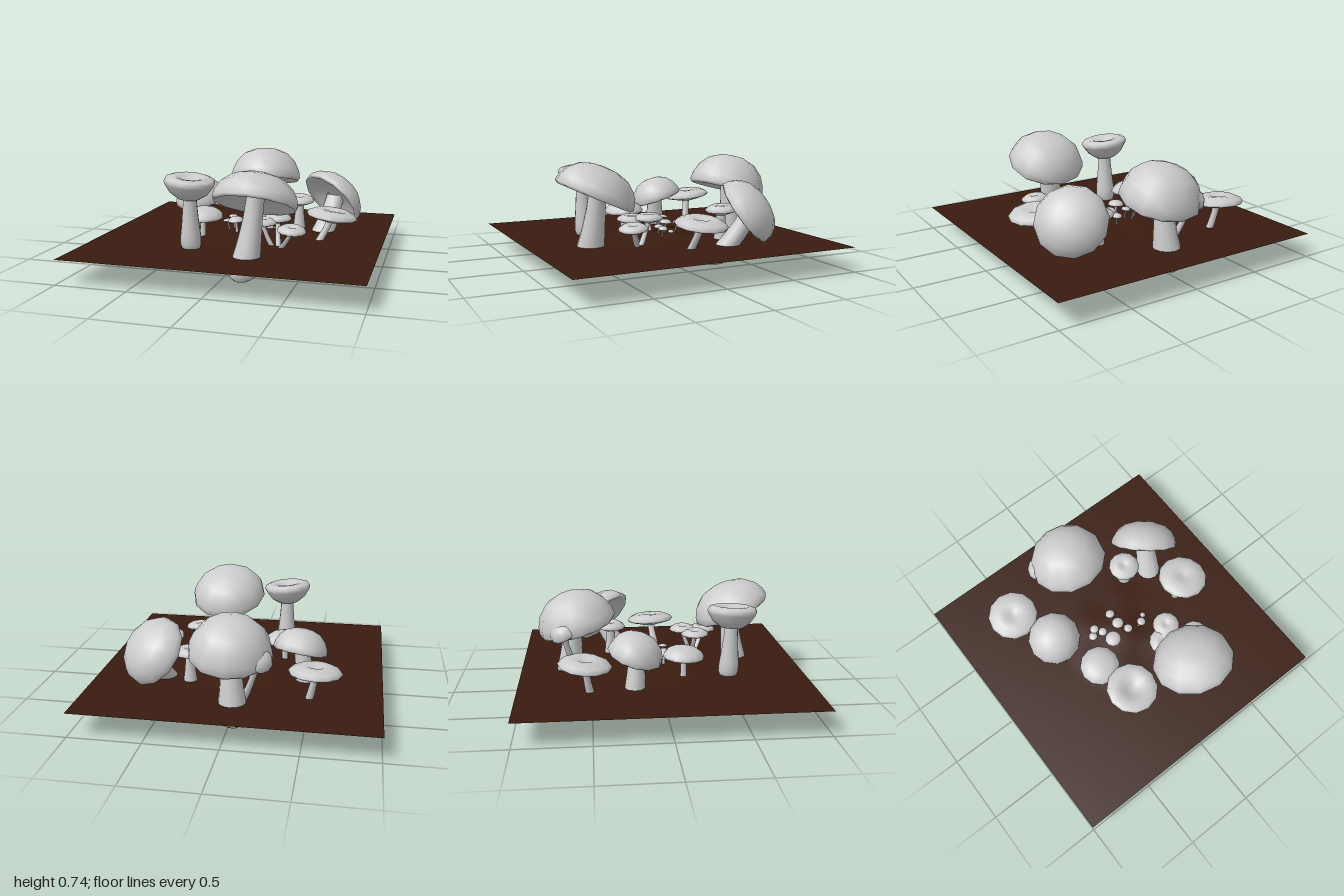
import * as THREE from 'three';
import { mergeVertices } from 'three/addons/utils/BufferGeometryUtils.js';

const GROUND_Y = 0.17;
const grey = new THREE.MeshStandardMaterial({ color: 0xcccccc, side: THREE.DoubleSide });
const soil = new THREE.MeshStandardMaterial({ color: 0x3a1c10, side: THREE.DoubleSide });

// Cap outlines as [radius, height] fractions, from the gills round the rim to the top
const CAPS = {
  dome: [[0, 0.3], [0.5, 0.27], [0.84, 0.08], [0.94, -0.04], [1, 0.04], [0.97, 0.26], [0.85, 0.56], [0.63, 0.82], [0.33, 0.96], [0, 1]],
  flat: [[0, -0.5], [0.3, -0.42], [0.7, -0.2], [0.95, -0.05], [1, 0.1], [0.9, 0.36], [0.62, 0.62], [0.36, 0.6], [0.16, 0.44], [0, 0.38]],
  funnel: [[0, -1], [0.45, -0.95], [0.75, -0.6], [0.96, -0.08], [1, 0.12], [0.94, 0.3], [0.72, 0.42], [0.48, 0.36], [0.25, 0.12], [0, 0.05]],
};
// Stem outlines as [radius, position along the stem] fractions
const STEMS = {
  fat: [[0, 0], [0.5, 0.015], [0.82, 0.05], [1, 0.13], [0.98, 0.25], [0.82, 0.45], [0.67, 0.7], [0.6, 1]],
  stout: [[0, 0], [0.88, 0.01], [0.98, 0.07], [1, 0.25], [0.9, 0.5], [0.8, 0.75], [0.75, 1]],
  thin: [[0, 0], [0.95, 0.01], [1, 0.15], [0.9, 0.4], [0.8, 0.7], [0.9, 1]],
};

function lathe(profile, r, h, sides) {
  const pts = profile.map(([x, y]) => new THREE.Vector2(x * r, y * h));
  let g = new THREE.LatheGeometry(pts, sides);
  g.deleteAttribute('uv');
  g.deleteAttribute('normal');
  g = mergeVertices(g, 1e-5);
  g.computeVertexNormals();
  return g;
}

// A lathed stem whose rings follow a bowed path from base to top
function stemGeometry(kind, r, base, top, sides) {
  const mid = new THREE.Vector3((base.x + 2 * top.x) / 3, (base.y + top.y) / 2, (base.z + 2 * top.z) / 3);
  const path = new THREE.QuadraticBezierCurve3(base, mid, top);
  const g = lathe(STEMS[kind], r, 1, sides);
  const p = g.attributes.position;
  for (let i = 0; i < p.count; i++) {
    const c = path.getPoint(THREE.MathUtils.clamp(p.getY(i), 0, 1));
    p.setXYZ(i, c.x + p.getX(i), c.y, c.z + p.getZ(i));
  }
  g.computeVertexNormals();
  return g;
}

// at = centre of the cap's rim, lean = direction the cap faces, foot = bottom of the stem
function mushroom({ name, cap, r, h, at, lean = [0, 1, 0], stem, sr, foot, sides = 12 }) {
  const group = new THREE.Group();
  group.name = name;
  const n = new THREE.Vector3(...lean).normalize();
  const centre = new THREE.Vector3(...at);

  const capMesh = new THREE.Mesh(lathe(CAPS[cap], r, h, sides), grey);
  capMesh.name = 'cap';
  capMesh.position.copy(centre);
  capMesh.quaternion.setFromUnitVectors(new THREE.Vector3(0, 1, 0), n);

  const top = centre.clone().addScaledVector(n, cap === 'dome' ? h * 0.4 : 0);
  const stemMesh = new THREE.Mesh(stemGeometry(stem, sr, new THREE.Vector3(...foot), top, sides), grey);
  stemMesh.name = 'stem';
  group.add(capMesh, stemMesh);
  return group;
}

// Flat soil with a gently uneven patch in the middle
function ground() {
  const g = new THREE.PlaneGeometry(2, 2, 32, 32).rotateX(-Math.PI / 2);
  const p = g.attributes.position;
  for (let i = 0; i < p.count; i++) {
    const x = p.getX(i), z = p.getZ(i);
    const fade = Math.max(0, 1 - Math.hypot(x - 0.03, z) / 0.42);
    const bump = 0.018 + 0.012 * Math.sin(x * 13 + 1) * Math.cos(z * 11) - 0.012 * x;
    p.setY(i, GROUND_Y + Math.min(1, fade * 2) * bump);
  }
  g.computeVertexNormals();
  const mesh = new THREE.Mesh(g, soil);
  mesh.name = 'ground';
  return mesh;
}

export function createModel() {
  const model = new THREE.Group();
  model.name = 'mushroomPatch';
  model.add(ground());

  const large = [
    { name: 'bigBackMushroom', cap: 'dome', r: 0.28, h: 0.25, at: [0, 0.485, -0.59], lean: [-0.05, 1, -0.27], stem: 'fat', sr: 0.1, foot: [-0.03, 0, -0.675] },
    { name: 'bigFrontMushroom', cap: 'dome', r: 0.285, h: 0.21, at: [0.22, 0.515, 0.57], lean: [0.04, 1, -0.44], stem: 'fat', sr: 0.1, foot: [0.14, 0, 0.6] },
    { name: 'leaningMushroom', cap: 'dome', r: 0.25, h: 0.17, at: [0.56, 0.385, -0.4], lean: [0.5, 0.6, -0.6], stem: 'stout', sr: 0.09, foot: [0.48, 0.04, -0.19] },
    { name: 'leftMushroom', cap: 'dome', r: 0.19, h: 0.165, at: [-0.42, 0.375, -0.21], lean: [-0.15, 1, 0.3], stem: 'stout', sr: 0.07, foot: [-0.48, 0.08, -0.22] },
    { name: 'funnelMushroom', cap: 'funnel', r: 0.175, h: 0.11, at: [-0.255, 0.62, 0.48], lean: [0.1, 1, 0.05], stem: 'fat', sr: 0.072, foot: [-0.255, 0.135, 0.46] },
    { name: 'backLeftMushroom', cap: 'flat', r: 0.18, h: 0.085, at: [-0.553, 0.36, -0.543], lean: [-0.03, 1, 0.1], stem: 'thin', sr: 0.03, foot: [-0.5, 0.1, -0.5] },
    { name: 'rightMushroom', cap: 'flat', r: 0.182, h: 0.085, at: [0.63, 0.335, -0.02], lean: [0.12, 1, -0.05], stem: 'thin', sr: 0.032, foot: [0.49, 0.075, 0.03] },
    { name: 'sideMushroom', cap: 'dome', r: 0.145, h: 0.08, at: [-0.275, 0.31, 0.14], lean: [0, 1, 0.05], stem: 'thin', sr: 0.025, foot: [-0.285, 0.1, 0.14] },
    { name: 'innerMushroom', cap: 'flat', r: 0.113, h: 0.07, at: [0.33, 0.37, -0.35], lean: [0, 1, 0.05], stem: 'fat', sr: 0.052, foot: [0.33, 0.085, -0.345] },
    { name: 'clusterMushroom', cap: 'flat', r: 0.098, h: 0.06, at: [0.29, 0.345, 0.2], stem: 'thin', sr: 0.02, foot: [0.31, 0.16, 0.27] },
    { name: 'clusterMushroom', cap: 'flat', r: 0.105, h: 0.06, at: [0.2, 0.33, 0.285], stem: 'thin', sr: 0.02, foot: [0.27, 0.16, 0.27] },
    { name: 'clusterMushroom', cap: 'flat', r: 0.1, h: 0.06, at: [0.425, 0.305, 0.375], lean: [0.08, 1, 0.08], stem: 'thin', sr: 0.02, foot: [0.33, 0.16, 0.3] },
    { name: 'rearLeaningMushroom', cap: 'dome', r: 0.1, h: 0.08, at: [-0.19, 0.48, -0.68], lean: [-0.4, 1, -0.55], stem: 'thin', sr: 0.026, foot: [-0.08, 0.15, -0.6] },
  ];
  for (const m of large) model.add(mushroom(m));

  // Tiny mushrooms in the middle: x, z, cap radius, cap height above the soil
  const tiny = [
    [-0.065, 0.025, 0.06, 0.1], [0.04, -0.15, 0.036, 0.08], [0.04, -0.055, 0.045, 0.09],
    [0.08, 0.02, 0.034, 0.07], [0.19, 0.04, 0.034, 0.075], [0.235, 0, 0.022, 0.06],
    [-0.165, -0.09, 0.034, 0.07], [-0.13, -0.12, 0.034, 0.1], [-0.09, -0.07, 0.034, 0.085],
  ];
  for (const [x, z, r, y] of tiny) {
    model.add(mushroom({
      name: 'tinyMushroom', cap: 'dome', r, h: r * 0.6, at: [x, GROUND_Y + y, z], lean: [x, 1, z],
      stem: 'thin', sr: r * 0.2, foot: [x * 0.85, GROUND_Y, z * 0.85], sides: 10,
    }));
  }
  return model;
}
